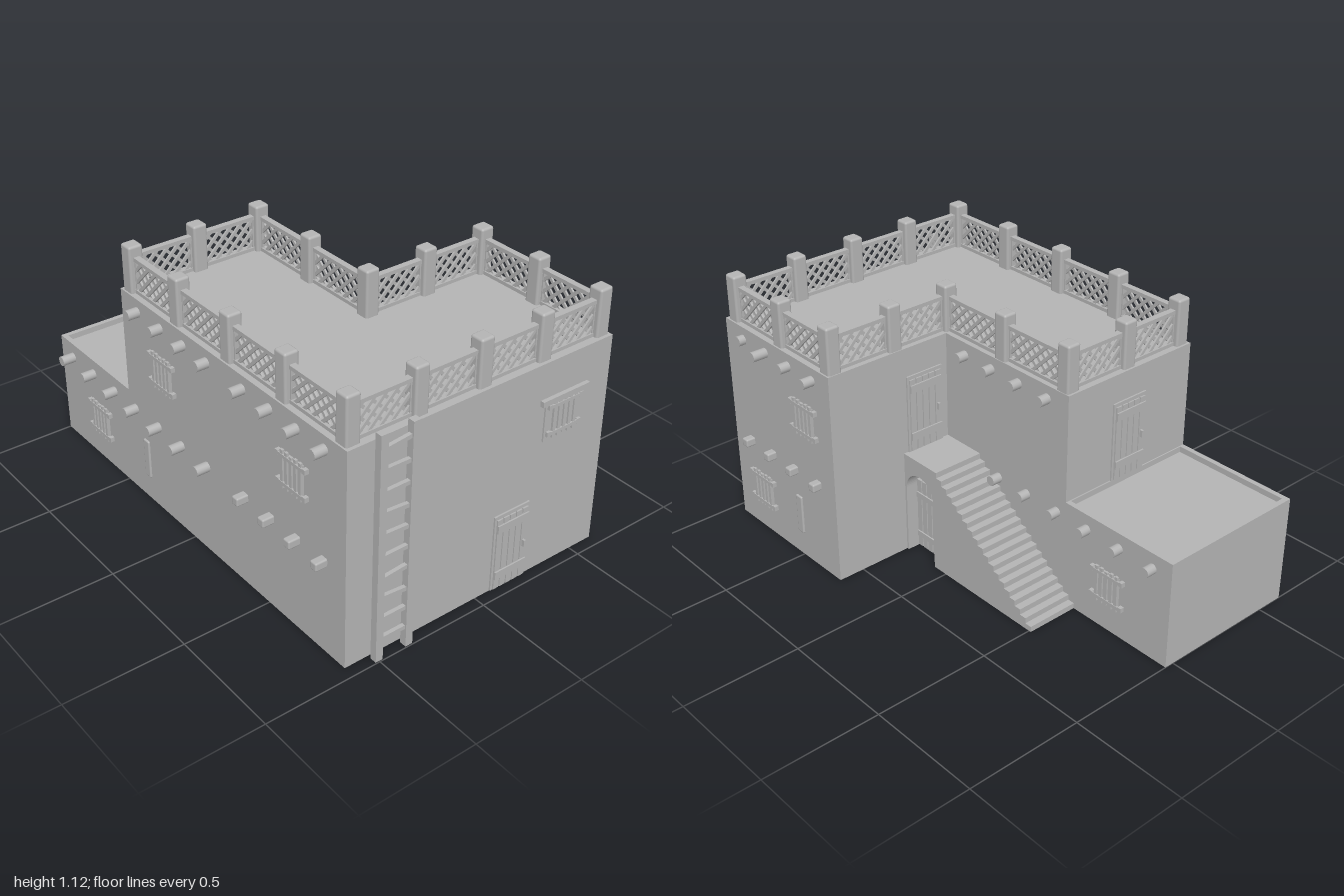
import * as THREE from 'three';
import { RoundedBoxGeometry } from 'three/addons/geometries/RoundedBoxGeometry.js';

const clay = new THREE.MeshStandardMaterial({ color: 0xb4b4b4 });
clay.name = 'clay grey';

function add(parent, name, geometry, x = 0, y = 0, z = 0) {
  const mesh = new THREE.Mesh(geometry, clay);
  mesh.name = name;
  mesh.position.set(x, y, z);
  parent.add(mesh);
  return mesh;
}
const box = (w, h, d) => new THREE.BoxGeometry(w, h, d);

function group(parent, name, x, y, z, turn = 0) {
  const g = new THREE.Group();
  g.name = name;
  g.position.set(x, y, z);
  g.rotation.y = turn;
  parent.add(g);
  return g;
}

// Plan outline given as [x, z], raised from y = 0
function plan(points, height, hole) {
  const toV = ([x, z]) => new THREE.Vector2(x, -z);
  const shape = new THREE.Shape(points.map(toV));
  if (hole) shape.holes.push(new THREE.Path(hole.map(toV)));
  return new THREE.ExtrudeGeometry(shape, { depth: height, bevelEnabled: false }).rotateX(-Math.PI / 2);
}

// Staircase side profile (across = -z), optionally notched by the archway
function stairSlab(width, arch) {
  const s = new THREE.Shape();
  const steps = 19, run = 0.59 / steps, rise = 0.46 / steps;
  s.moveTo(-0.25, 0);
  if (arch) {
    s.lineTo(-0.24, 0);
    s.lineTo(-0.24, 0.305);
    s.absarc(-0.155, 0.305, 0.085, Math.PI, 0, true);
    s.lineTo(-0.07, 0);
  }
  s.lineTo(0.51, 0);
  for (let i = 1; i <= steps; i++) {
    s.lineTo(0.51 - (i - 1) * run, i * rise);
    s.lineTo(0.51 - i * run, i * rise);
  }
  s.lineTo(-0.25, 0.46);
  return new THREE.ExtrudeGeometry(s, { depth: width, bevelEnabled: false, curveSegments: 16 }).rotateY(Math.PI / 2);
}

// Plank door facing +z, standing on its origin
function door(parent, name, x, y, z, turn) {
  const g = group(parent, name, x, y, z, turn);
  add(g, 'doorPanel', box(0.175, 0.34, 0.008), 0, 0.17, 0.003);
  for (let i = 0; i < 5; i++) add(g, 'doorPlank', box(0.027, 0.32, 0.008), (i - 2) * 0.032, 0.165, 0.009);
  for (const h of [0.07, 0.285]) add(g, 'doorBrace', box(0.155, 0.034, 0.008), 0, h, 0.015);
  add(g, 'doorHandle', box(0.009, 0.03, 0.014), 0.06, 0.165, 0.019);
}

// Shuttered window facing +z, centred on its origin
function windowShutter(parent, name, x, y, z, turn, framed) {
  const g = group(parent, name, x, y, z, turn);
  if (framed) {
    add(g, 'windowFrame', box(0.188, 0.165, 0.008), 0, -0.008, 0.003);
    add(g, 'windowLintel', box(0.235, 0.024, 0.018), 0, 0.082, 0.008);
  }
  add(g, 'shutterPanel', box(0.115, 0.135, 0.01), 0, 0, 0.004);
  for (let i = 0; i < 5; i++) add(g, 'shutterBar', box(0.014, i === 2 ? 0.15 : 0.16, 0.01), (i - 2) * 0.026, 0, 0.011);
  for (const h of [-0.058, 0.058]) {
    add(g, 'shutterBrace', box(0.155, 0.014, 0.008), 0, h, 0.014);
    for (const s of [-1, 1]) add(g, 'shutterHinge', box(0.017, 0.02, 0.018), s * 0.077, h, 0.009);
  }
}

// Lattice panel between two posts, its slats clipped to the panel height and width
function fencePanel(parent, [x0, z0], [x1, z1]) {
  const length = Math.hypot(x1 - x0, z1 - z0) - 0.05;
  const g = group(parent, 'fencePanel', (x0 + x1) / 2, 1, (z0 + z1) / 2, -Math.atan2(z1 - z0, x1 - x0));
  const half = length / 2, h = 0.068;
  for (const s of [-1, 1]) {
    add(g, 'fenceRail', box(length, 0.016, 0.026), 0, s * h, 0);
    add(g, 'fenceStile', box(0.012, 2 * h, 0.02), s * (half - 0.006), 0, 0);
  }
  for (const s of [-1, 1]) {
    for (let c = -0.3; c <= 0.3; c += 0.05) {
      const a = Math.max(-half, c - h), b = Math.min(half, c + h);
      if (b - a < 0.015) continue;
      const slat = add(g, 'latticeSlat', box((b - a) * Math.SQRT2, 0.013, 0.008),
        (a + b) / 2, s * ((a + b) / 2 - c), s * 0.004);
      slat.rotation.z = s * Math.PI / 4;
    }
  }
}

// Roof beam end sticking out of a side wall
function beam(parent, x, y, z, side, reach, square) {
  const len = reach + 0.04;
  const geo = square ? new RoundedBoxGeometry(len, 0.036, 0.036, 2, 0.007)
    : new THREE.CylinderGeometry(0.021, 0.021, len, 14).rotateZ(Math.PI / 2);
  add(parent, 'roofBeam', geo, x + side * (reach - len / 2), y, z);
}

export function createModel() {
  const model = new THREE.Group();
  model.name = 'adobeHouse';

  // Walls: tall L-shaped house and low rear room with a sunken roof
  add(model, 'mainHouse', plan([[-0.62, 0.95], [0.615, 0.95], [0.615, 0.25], [0.04, 0.25], [0.04, -0.45], [-0.62, -0.45]], 0.925));
  add(model, 'rearRoom', box(0.66, 0.44, 0.56), -0.29, 0.22, -0.72);
  add(model, 'rearParapet', plan(
    [[-0.62, -0.44], [0.04, -0.44], [0.04, -1], [-0.62, -1]], 0.025,
    [[-0.598, -0.455], [0.018, -0.455], [0.018, -0.978], [-0.598, -0.978]]), 0, 0.44, 0);

  // Outside staircase with an arched doorway underneath
  add(model, 'staircaseCore', stairSlab(0.17, false), 0.04, 0, 0);
  add(model, 'staircaseArch', stairSlab(0.06, true), 0.21, 0, 0);
  const archDoor = group(model, 'archDoor', 0.21, 0, 0.155, Math.PI / 2);
  for (let i = 0; i < 5; i++) add(archDoor, 'archPlank', box(0.026, 0.32, 0.012), (i - 2) * 0.032, 0.17, 0.006);
  for (const h of [0.07, 0.26]) add(archDoor, 'archBrace', box(0.15, 0.025, 0.008), 0, h, 0.014);

  // Doors
  door(model, 'frontDoor', 0.16, 0.004, 0.95, 0);
  door(model, 'landingDoor', 0.16, 0.46, 0.25, Math.PI);
  door(model, 'terraceDoor', -0.285, 0.465, -0.45, Math.PI);

  // Windows and narrow slots
  const L = Math.PI / 2;
  windowShutter(model, 'frontWindow', 0.382, 0.68, 0.95, 0, true);
  windowShutter(model, 'leftUpperWindow', 0.615, 0.675, 0.425, L);
  windowShutter(model, 'leftLowerWindow', 0.615, 0.2, 0.76, L);
  windowShutter(model, 'leftRearWindow', 0.04, 0.2, -0.69, L);
  windowShutter(model, 'rightFrontWindow', -0.62, 0.675, 0.66, -L);
  windowShutter(model, 'rightMiddleWindow', -0.62, 0.675, -0.17, -L);
  windowShutter(model, 'rightRearWindow', -0.62, 0.2, -0.69, -L);
  add(model, 'leftSlot', new RoundedBoxGeometry(0.016, 0.175, 0.04, 2, 0.006), 0.615, 0.198, 0.505);
  add(model, 'rightSlot', new RoundedBoxGeometry(0.016, 0.175, 0.04, 2, 0.006), -0.62, 0.198, -0.33);

  // Beam ends in two rows along both sides
  const reach = [0.03, 0.065, 0.045, 0.05];
  [0.83, 0.675, 0.52, 0.36].forEach((z, i) => {
    beam(model, 0.615, 0.87, z, 1, reach[i], false);
    beam(model, 0.615, 0.405, z, 1, 0.04, true);
    beam(model, -0.62, 0.87, z, -1, 0.055, false);
    beam(model, -0.62, 0.405, z, -1, 0.05, true);
  });
  for (const z of [0.135, -0.02, -0.175, -0.335]) {
    beam(model, 0.04, 0.87, z, 1, 0.045, false);
    beam(model, -0.62, 0.87, z, -1, 0.05, false);
  }
  for (const z of [0.11, -0.065, -0.23, -0.4, -0.565, -0.735, -0.905]) {
    if (z < 0) beam(model, 0.04, 0.4, z, 1, 0.045, false);
    beam(model, -0.62, 0.4, z, -1, 0.058, false);
  }

  // Roof fence: posts in order around the roof edge, lattice between neighbours
  const posts = [
    [-0.582, 0.905], [-0.29, 0.905], [0, 0.905], [0.287, 0.905], [0.577, 0.905],
    [0.577, 0.595], [0.577, 0.285], [0.287, 0.285], [0.006, 0.285],
    [0.006, -0.065], [0.006, -0.41], [-0.29, -0.41], [-0.582, -0.41],
    [-0.582, -0.085], [-0.582, 0.245], [-0.582, 0.575]];
  posts.forEach((p, i) => {
    add(model, 'fencePost', new RoundedBoxGeometry(0.062, 0.22, 0.062, 2, 0.01), p[0], 1.011, p[1]);
    fencePanel(model, p, posts[(i + 1) % posts.length]);
  });

  // Ladder leaning flat to the front wall, with uneven rungs
  const ladder = group(model, 'ladder', -0.433, 0, 0.983);
  for (const s of [-1, 1]) add(ladder, 'ladderRail', box(0.032, 0.965, 0.03), s * 0.069, 0.486, 0);
  const tilts = [0, 0, -0.09, 0.08, 0, -0.06, -0.08, 0, -0.02, 0.1];
  tilts.forEach((t, i) => {
    add(ladder, 'ladderRung', box(0.125, 0.017, 0.016), 0, 0.09 + i * 0.0905, 0).rotation.z = t;
  });

  return model;
}
